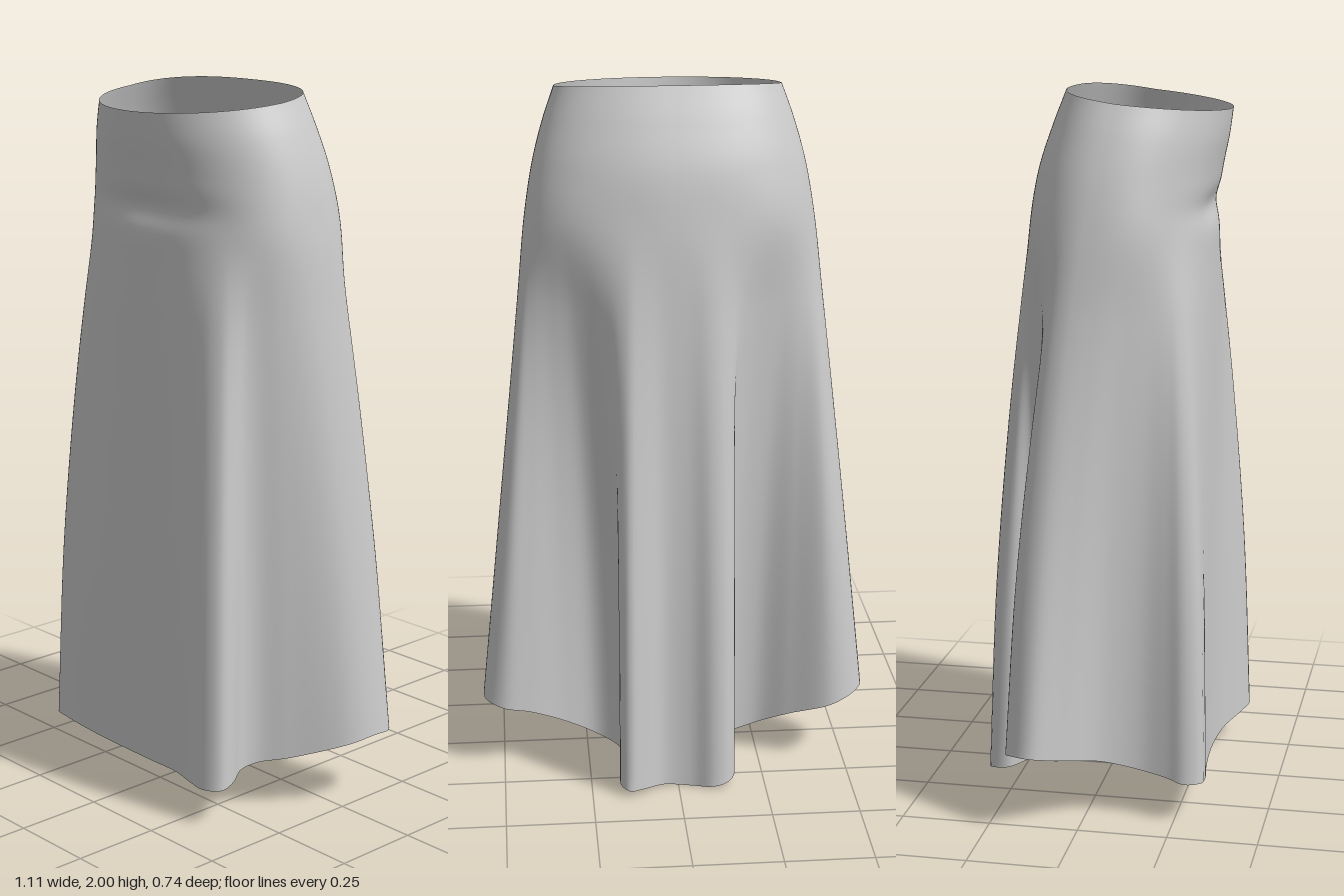
import * as THREE from 'three';

// Hem outline, anticlockwise from the centre front: x, y, z
const HEM = [
  [0, 0.075, 0.30], [0.14, 0.085, 0.315], [0.25, 0.10, 0.355], [0.32, 0.105, 0.37],
  [0.37, 0.11, 0.345], [0.365, 0.12, 0.295], [0.335, 0.13, 0.24], [0.345, 0.14, 0.19],
  [0.41, 0.155, 0.12], [0.53, 0.20, 0], [0.555, 0.215, -0.07], [0.55, 0.21, -0.13],
  [0.50, 0.20, -0.175], [0.42, 0.18, -0.165], [0.31, 0.125, -0.13], [0.22, 0.075, -0.12],
  [0.16, 0.055, -0.17], [0.15, 0.035, -0.25], [0.17, 0.025, -0.33], [0.145, 0.02, -0.37],
  [0.10, 0.015, -0.35], [0.04, 0.005, -0.31], [-0.04, 0, -0.315], [-0.10, 0.01, -0.345],
  [-0.145, 0.02, -0.335], [-0.165, 0.03, -0.28], [-0.11, 0.045, -0.21], [-0.145, 0.065, -0.14],
  [-0.24, 0.09, -0.115], [-0.34, 0.14, -0.16], [-0.46, 0.19, -0.21], [-0.53, 0.215, -0.18],
  [-0.557, 0.22, -0.12], [-0.50, 0.20, -0.04], [-0.41, 0.17, 0.05], [-0.375, 0.14, 0.15],
  [-0.385, 0.125, 0.23], [-0.40, 0.115, 0.28], [-0.38, 0.115, 0.325], [-0.33, 0.11, 0.33],
  [-0.22, 0.09, 0.315],
];

// Waist to hip rings; a power below 1 squares off that half of the oval
const RINGS = [
  { yFront: 1.945, yBack: 2.0, halfWidth: 0.315, front: 0.337, middle: 0.07, back: -0.11, powerFront: 1, powerBack: 0.8 },
  { yFront: 1.87, yBack: 1.90, halfWidth: 0.347, front: 0.326, middle: 0.05, back: -0.15, powerFront: 0.96, powerBack: 0.85 },
  { yFront: 1.76, yBack: 1.78, halfWidth: 0.379, front: 0.304, middle: 0.025, back: -0.19, powerFront: 0.9, powerBack: 0.9 },
  { yFront: 1.62, yBack: 1.62, halfWidth: 0.405, front: 0.296, middle: 0, back: -0.217, powerFront: 0.85, powerBack: 0.95 },
];

// Point on a ring, angle 0 at the front, turning to +x
function ringPoint(ring, angle) {
  const isFront = Math.cos(angle) > 0;
  const power = isFront ? ring.powerFront : ring.powerBack;
  const soft = (v) => Math.sign(v) * Math.abs(v) ** power;
  const c = soft(Math.cos(angle));
  const depth = isFront ? ring.front - ring.middle : ring.middle - ring.back;
  return new THREE.Vector3(
    ring.halfWidth * soft(Math.sin(angle)),
    THREE.MathUtils.lerp(ring.yBack, ring.yFront, (c + 1) / 2),
    ring.middle + depth * c,
  );
}

// Point between hip and hem; folds open early, while the side seams hang straight
function drapePoint(hip, hem, t, angle) {
  const early = 0.7 * t * (1 - t);
  const awayFromSide = 1 - Math.sin(angle) ** 8;
  return new THREE.Vector3(
    THREE.MathUtils.lerp(hip.x, hem.x, t + early * awayFromSide),
    THREE.MathUtils.lerp(hip.y, hem.y, t),
    THREE.MathUtils.lerp(hip.z, hem.z, t + early),
  );
}

// Soft crease across the front below the belly
function creaseDepth(p) {
  if (p.z < 0.1) return 0;
  return 0.02 * Math.exp(-((p.x / 0.19) ** 2) - ((p.y - 1.68) / 0.045) ** 2);
}

function skirtGeometry(columns = 240, rows = 90) {
  const hemCurve = new THREE.CatmullRomCurve3(HEM.map((p) => new THREE.Vector3(...p)), true);
  hemCurve.arcLengthDivisions = 1000;
  const positions = [];
  const index = [];

  for (let i = 0; i < columns; i++) {
    // Each column hangs from the waist, over the hip and down to the hem
    const u = i / columns;
    const angle = u * Math.PI * 2;
    const hem = hemCurve.getPointAt(u);
    const points = RINGS.map((ring) => ringPoint(ring, angle));
    const hip = points[points.length - 1];
    for (const t of [0.15, 0.35, 0.65, 1]) points.push(drapePoint(hip, hem, t, angle));
    const column = new THREE.CatmullRomCurve3(points);

    for (let j = 0; j <= rows; j++) {
      const p = column.getPoint(j / rows);
      p.z -= creaseDepth(p);
      positions.push(p.x, p.y, p.z);
      if (j === rows) continue;
      const a = i * (rows + 1) + j;
      const b = ((i + 1) % columns) * (rows + 1) + j;
      index.push(a, a + 1, b, b, a + 1, b + 1);
    }
  }

  const geometry = new THREE.BufferGeometry();
  geometry.setAttribute('position', new THREE.Float32BufferAttribute(positions, 3));
  geometry.setIndex(index);
  geometry.computeVertexNormals();
  return geometry;
}

export function createModel() {
  const group = new THREE.Group();
  group.name = 'drapedSkirt';
  const cloth = new THREE.MeshStandardMaterial({ color: 0xcccccc, side: THREE.DoubleSide });
  const skirt = new THREE.Mesh(skirtGeometry(), cloth);
  skirt.name = 'skirtCloth';
  group.add(skirt);
  return group;
}
